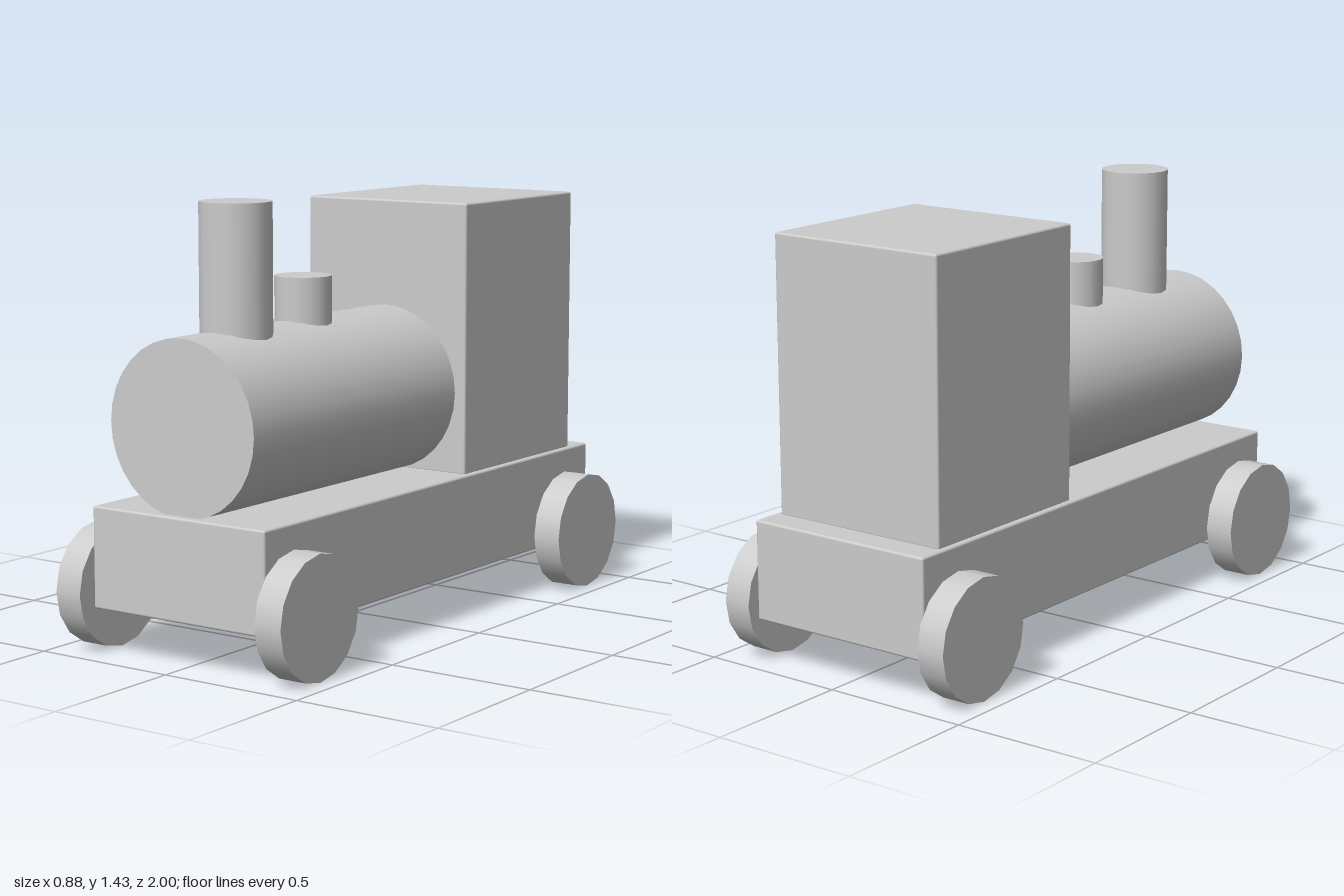
import * as THREE from 'three';
import { RoundedBoxGeometry } from 'three/addons/geometries/RoundedBoxGeometry.js';

const material = new THREE.MeshStandardMaterial({ color: 0xcccccc });

export function createModel() {
  const model = new THREE.Group();
  model.name = 'toyTrain';

  const add = (name, geometry, x, y, z) => {
    const mesh = new THREE.Mesh(geometry, material);
    mesh.name = name;
    mesh.position.set(x, y, z);
    model.add(mesh);
    return mesh;
  };

  // Softly bevelled block spanning the given y and z ranges
  const block = (name, width, y0, y1, z0, z1) =>
    add(name, new RoundedBoxGeometry(width, y1 - y0, z1 - z0, 2, 0.008),
      0, (y0 + y1) / 2, (z0 + z1) / 2);

  // Upright cylinder rising out of the boiler
  const stack = (name, radius, top, z) => {
    const bottom = 0.9;
    add(name, new THREE.CylinderGeometry(radius, radius, top - bottom, 16), 0, (top + bottom) / 2, z);
  };

  block('chassis', 0.676, 0.15, 0.48, -0.963, 0.94);
  block('cab', 0.64, 0.475, 1.385, -0.865, -0.185);

  // Boiler lying along z, its rear end set into the cab
  const boilerGeometry = new THREE.CylinderGeometry(0.28, 0.28, 1.12, 32);
  boilerGeometry.rotateX(Math.PI / 2);
  add('boiler', boilerGeometry, 0, 0.75, 0.352);

  stack('chimney', 0.116, 1.43, 0.635);
  stack('steamDome', 0.094, 1.17, 0.285);

  // Four wheels
  const wheelGeometry = new THREE.CylinderGeometry(0.2, 0.2, 0.098, 16);
  wheelGeometry.rotateZ(Math.PI / 2);
  for (const [side, x] of [['left', 0.393], ['right', -0.393]]) {
    for (const [end, z] of [['Front', 0.8], ['Rear', -0.8]]) {
      add(`${side}${end}Wheel`, wheelGeometry, x, 0.2, z);
    }
  }

  return model;
}
